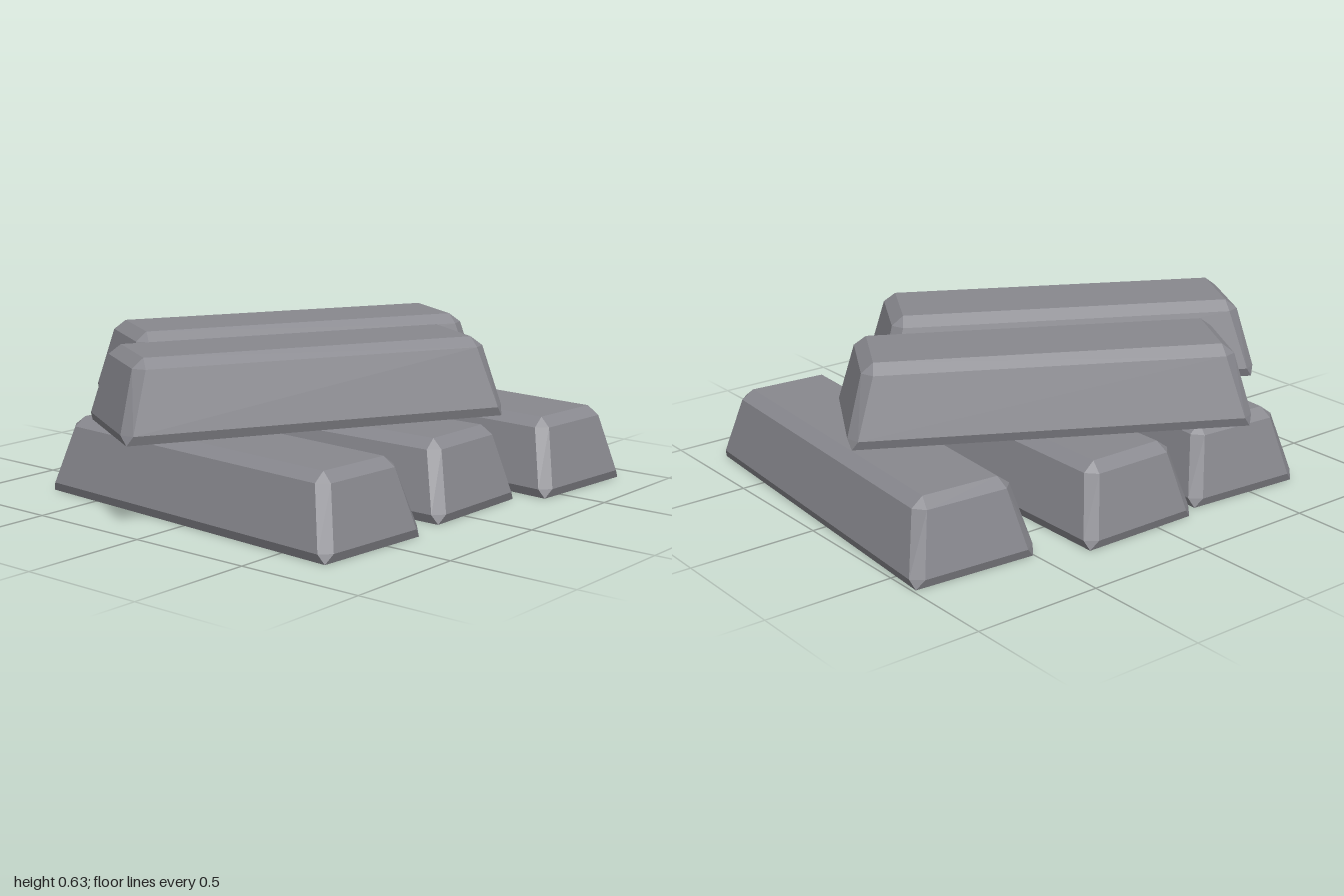
import * as THREE from 'three';
import { ConvexGeometry } from 'three/addons/geometries/ConvexGeometry.js';

// Tapered bar with bevelled edges: one corner mirrored into four, then hulled
function ingotGeometry() {
  const corner = [
    [0.242, 0, 0.732],     // bottom face
    [0.255, 0.035, 0.71],  // long side, lower
    [0.212, 0.035, 0.745], // end, lower
    [0.2, 0.26, 0.645],    // long side, upper
    [0.163, 0.26, 0.685],  // end, upper
    [0.153, 0.295, 0.64],  // top face
  ];
  const points = [];
  for (const sx of [-1, 1])
    for (const sz of [-1, 1])
      for (const [x, y, z] of corner) points.push(new THREE.Vector3(sx * x, y, sz * z));
  return new ConvexGeometry(points);
}

export function createModel() {
  const group = new THREE.Group();
  const metal = new THREE.MeshStandardMaterial({ color: 0x88888e });
  metal.name = 'greyMetal';
  const geometry = ingotGeometry();

  // name, x, y, z, turn about y in degrees
  const ingots = [
    ['lowerIngotRight', -0.52, 0, -0.007, -4],
    ['lowerIngotMiddle', 0.08, 0, -0.03, 0],
    ['lowerIngotLeft', 0.695, 0, 0.082, -4],
    ['upperIngotFront', -0.25, 0.333, 0.108, 61],
    ['upperIngotBack', 0.15, 0.335, -0.28, 61],
  ];
  for (const [name, x, y, z, turn] of ingots) {
    const ingot = new THREE.Mesh(geometry, metal);
    ingot.name = name;
    ingot.position.set(x, y, z);
    ingot.rotation.y = THREE.MathUtils.degToRad(turn);
    group.add(ingot);
  }
  return group;
}
